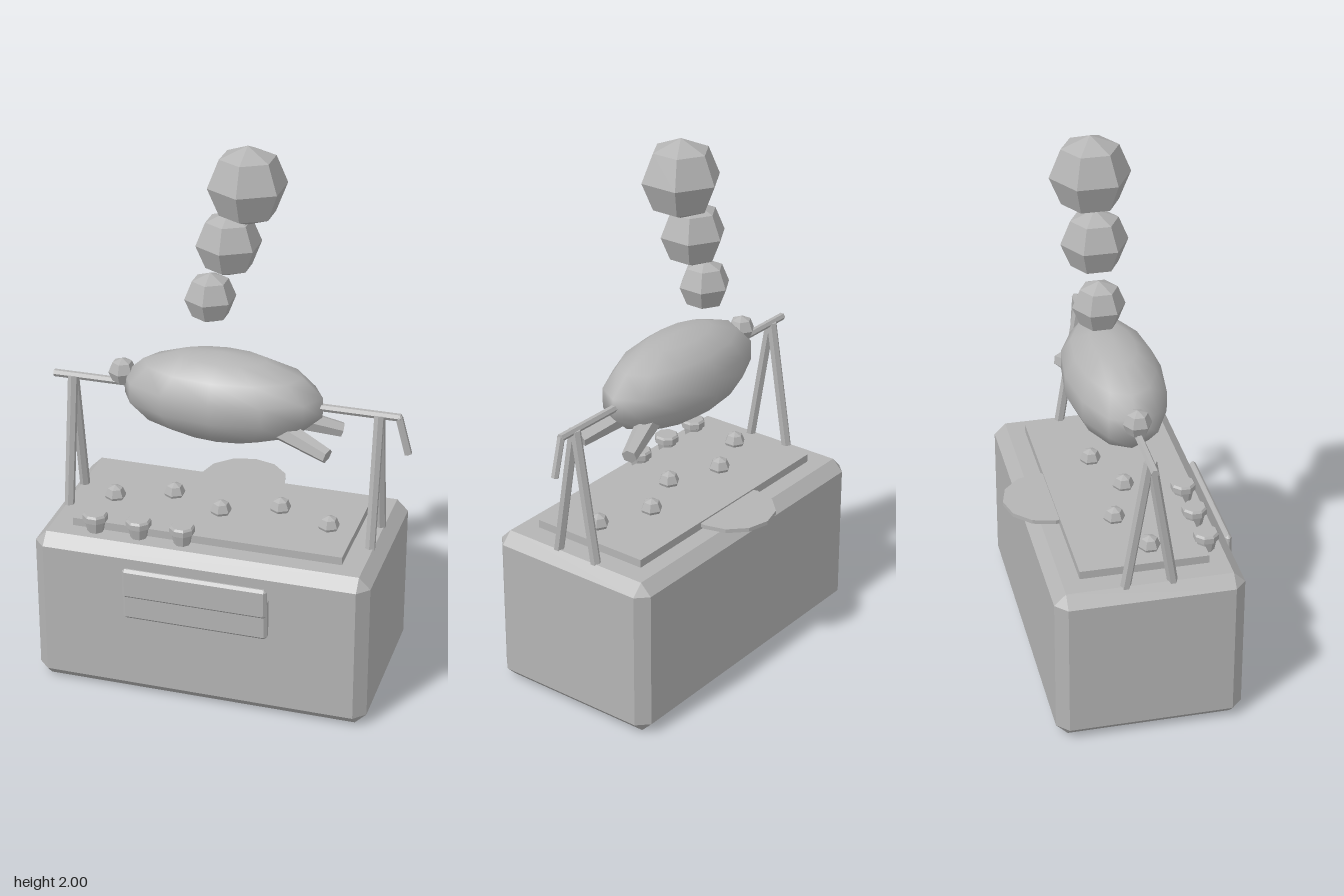
import * as THREE from 'three';
import { ConvexGeometry } from 'three/addons/geometries/ConvexGeometry.js';

const V = (x, y, z) => new THREE.Vector3(x, y, z);
const Z0 = 0.01; // depth of the spit axis

// Gives every face its own normal
function faceted(geometry) {
  const g = geometry.toNonIndexed();
  g.computeVertexNormals();
  return g;
}

// Box with all edges cut at 45 degrees
function chamferBox(x0, x1, y0, y1, z0, z1, c) {
  const half = [(x1 - x0) / 2, (y1 - y0) / 2, (z1 - z0) / 2];
  const points = [];
  for (const sx of [-1, 1]) for (const sy of [-1, 1]) for (const sz of [-1, 1]) {
    for (let axis = 0; axis < 3; axis++) {
      const h = half.map((v, i) => (i === axis ? v : v - c));
      points.push(V(sx * h[0], sy * h[1], sz * h[2]));
    }
  }
  return new ConvexGeometry(points).translate((x0 + x1) / 2, (y0 + y1) / 2, (z0 + z1) / 2);
}

// Faceted six-sided ball
function ball(r, x, y, z) {
  return faceted(new THREE.SphereGeometry(r, 6, 4).rotateY(Math.PI / 6).translate(x, y, z));
}

// Straight bar between two points, optionally tapered
function bar(a, b, ra, rb = ra, sides = 6) {
  const dir = b.clone().sub(a);
  const g = new THREE.CylinderGeometry(rb, ra, dir.length(), sides);
  g.applyQuaternion(new THREE.Quaternion().setFromUnitVectors(V(0, 1, 0), dir.normalize()));
  g.translate((a.x + b.x) / 2, (a.y + b.y) / 2, (a.z + b.z) / 2);
  return faceted(g);
}

export function createModel() {
  const group = new THREE.Group();
  const grey = new THREE.MeshStandardMaterial({ color: 0xb4b4b4 });
  grey.name = 'plain grey';
  const add = (name, geometry) => {
    const mesh = new THREE.Mesh(geometry, grey);
    mesh.name = name;
    group.add(mesh);
    return mesh;
  };

  // Grill cabinet with its top plate and round rear tray
  add('cabinet', chamferBox(-0.645, 0.595, 0, 0.6, -0.325, 0.352, 0.042));
  add('topPlate', new THREE.BoxGeometry(1.0, 0.035, 0.462).translate(-0.025, 0.6125, 0.012));
  add('rearTray', faceted(new THREE.CylinderGeometry(0.162, 0.162, 0.015, 12).translate(-0.025, 0.617, -0.234)));

  // Front door panels
  add('lowerPanel', chamferBox(-0.293, 0.241, 0.33, 0.49, 0.345, 0.383, 0.01));
  add('upperPanel', chamferBox(-0.293, 0.241, 0.42, 0.535, 0.367, 0.392, 0.01));

  // Control knobs
  const knobProfile = [[0, 0.598], [0.03, 0.598], [0.038, 0.64], [0.046, 0.644], [0.046, 0.664], [0.04, 0.672], [0, 0.672]]
    .map(([r, y]) => new THREE.Vector2(r, y));
  for (const x of [-0.435, -0.271, -0.108]) {
    add('knob', faceted(new THREE.LatheGeometry(knobProfile, 8).rotateY(Math.PI / 8).translate(x, 0, 0.253)));
  }

  // Coals in a zigzag row
  for (let i = 0; i < 5; i++) {
    add('coal', ball(0.04, -0.43 + i * 0.202, 0.64, i % 2 ? -0.03 : 0.05));
  }

  // A-frame stands
  for (const x of [-0.594, 0.541]) {
    for (const s of [-1, 1]) {
      add('standLeg', bar(V(x, 0.59, Z0 + s * 0.084), V(x, 1.085, Z0 + s * 0.004), 0.019));
    }
  }

  // Spit and crank
  add('spit', bar(V(-0.667, 1.085, Z0), V(0.617, 1.085, Z0), 0.014));
  add('crank', bar(V(0.61, 1.088, Z0), V(0.648, 0.948, Z0), 0.014));

  // Roast with hind legs and a fruit at the front end
  add('roastBody', new THREE.SphereGeometry(1, 12, 7).scale(0.377, 0.167, 0.178).translate(-0.031, 1.084, Z0));
  for (const s of [-1, 1]) {
    add('hindLeg', bar(V(0.19, 1.01, Z0 + s * 0.05), V(0.383, 0.953, Z0 + s * 0.108), 0.043, 0.028));
  }
  add('fruit', ball(0.051, -0.406, 1.127, Z0));

  // Rising smoke puffs
  for (const [r, x, y] of [[0.094, -0.095, 1.425], [0.119, -0.027, 1.637], [0.143, 0.04, 1.857]]) {
    add('smokePuff', ball(r, x, y, -0.055));
  }
  return group;
}
